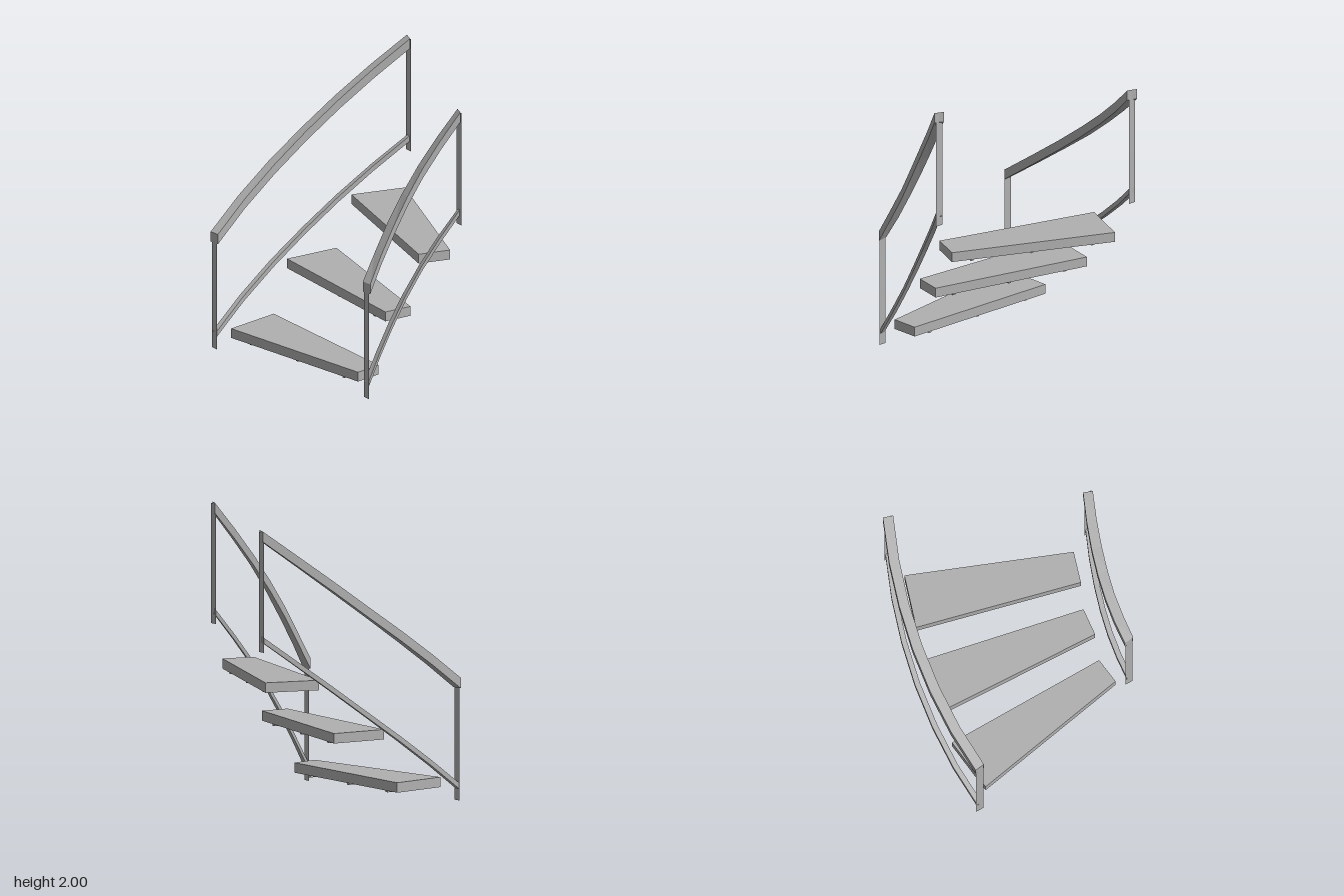
import * as THREE from 'three';

const gray = new THREE.MeshStandardMaterial({ color: 0xb0b0b0 });
gray.name = 'gray';
gray.side = THREE.DoubleSide;

// Lofts four-cornered sections running from front to back, with flat faces.
// A section is { l: [x, z], r: [x, z], y0, y1 }.
function loft(name, sections) {
  const rings = sections.map(({ l, r, y0, y1 }) => [
    [l[0], y0, l[1]], [r[0], y0, r[1]], [r[0], y1, r[1]], [l[0], y1, l[1]],
  ]);
  const pos = [];
  const quad = (a, b, c, d) => pos.push(...a, ...b, ...c, ...a, ...c, ...d);
  for (let k = 0; k + 1 < rings.length; k++) {
    const a = rings[k], b = rings[k + 1];
    for (let i = 0; i < 4; i++) {
      const j = (i + 1) % 4;
      quad(a[i], b[i], b[j], a[j]);
    }
  }
  quad(...rings[0]);
  quad(...[...rings[rings.length - 1]].reverse());
  const geometry = new THREE.BufferGeometry();
  geometry.setAttribute('position', new THREE.Float32BufferAttribute(pos, 3));
  geometry.computeVertexNormals();
  const mesh = new THREE.Mesh(geometry, gray);
  mesh.name = name;
  return mesh;
}

const mix = (a, b, t) => [a[0] + (b[0] - a[0]) * t, a[1] + (b[1] - a[1]) * t];

// Rising curved rail; width is the fraction of the handrail width it keeps
function rail(name, left, right, width, bottom, height) {
  const inset = (1 - width) / 2;
  return loft(name, left.map((l, i) => {
    const y0 = bottom + 1.14 * i / (left.length - 1);
    return { l: mix(l, right[i], inset), r: mix(right[i], l, inset), y0, y1: y0 + height };
  }));
}

// Flat upright
function post(name, x, z, y0, y1) {
  const mesh = new THREE.Mesh(new THREE.PlaneGeometry(0.057, y1 - y0), gray);
  mesh.position.set(x, (y0 + y1) / 2, z);
  mesh.name = name;
  return mesh;
}

function railing(name, left, right) {
  const group = new THREE.Group();
  group.name = name;
  const n = left.length - 1;
  const front = mix(left[0], right[0], 0.5), back = mix(left[n], right[n], 0.5);
  group.add(
    rail('handrail', left, right, 1, 0.787, 0.073),
    rail('lowerRail', left, right, 0.52, 0.083, 0.04),
    post('frontPost', front[0], front[1], 0, 0.86),
    post('backPost', back[0], back[1], 1.15, 1.99),
  );
  return group;
}

// Wedge-shaped step with three strips under it; corners are [x, z]
function step(y, backLeft, backRight, frontRight, frontLeft) {
  const group = new THREE.Group();
  group.name = 'step';
  group.add(loft('tread', [
    { l: frontLeft, r: frontRight, y0: y, y1: y + 0.07 },
    { l: backLeft, r: backRight, y0: y, y1: y + 0.07 },
  ]));
  const half = 0.011;
  for (const t of [0.13, 0.5, 0.87]) {
    const front = mix(frontLeft, frontRight, t), back = mix(backLeft, backRight, t);
    const section = (s) => {
      const [x, z] = mix(front, back, s);
      return { l: [x - half, z], r: [x + half, z], y0: y - 0.017, y1: y };
    };
    group.add(loft('supportStrip', [section(0.07), section(0.93)]));
  }
  return group;
}

export function createModel() {
  const model = new THREE.Group();
  model.name = 'curvedStair';

  // Steps, lowest first
  model.add(
    step(0.087, [-0.65, 0.305], [0.535, 0.293], [0.555, 0.485], [-0.613, 0.703]),
    step(0.47, [-0.602, -0.203], [0.56, 0.035], [0.537, 0.235], [-0.65, 0.19]),
    step(0.85, [-0.455, -0.685], [0.645, -0.245], [0.575, -0.025], [-0.577, -0.313]),
  );

  // Long railing on the outside of the bend
  model.add(railing('outerRailing',
    [[-0.74, 0.785], [-0.78, 0.515], [-0.79, 0.243], [-0.772, -0.03], [-0.728, -0.288], [-0.66, -0.543], [-0.567, -0.788]],
    [[-0.669, 0.775], [-0.708, 0.51], [-0.717, 0.243], [-0.7, -0.02], [-0.658, -0.277], [-0.59, -0.525], [-0.498, -0.765]]));

  // Short railing on the inside of the bend
  model.add(railing('innerRailing',
    [[0.624, 0.497], [0.607, 0.378], [0.602, 0.265], [0.611, 0.145], [0.634, 0.02], [0.672, -0.113], [0.723, -0.25]],
    [[0.695, 0.486], [0.68, 0.378], [0.675, 0.265], [0.684, 0.155], [0.705, 0.037], [0.74, -0.093], [0.787, -0.226]]));

  return model;
}
